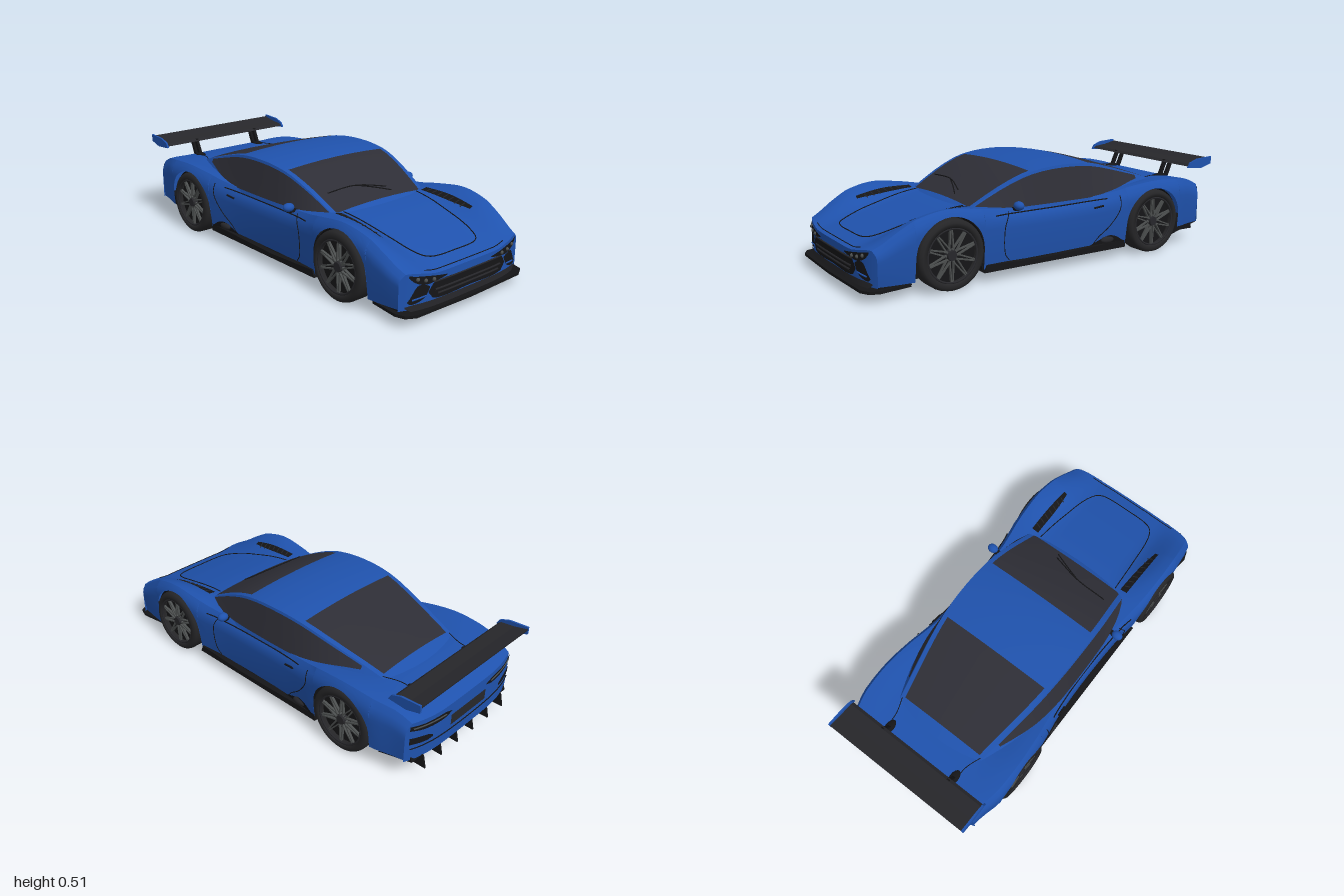
import * as THREE from 'three';
import { toCreasedNormals } from 'three/addons/utils/BufferGeometryUtils.js';

const mat = (name, color, side = THREE.DoubleSide) => Object.assign(new THREE.MeshStandardMaterial({ color, side }), { name });
const blue = mat('blue paint', 0x1f52ad);
const glass = mat('dark glass', 0x2e2e36);
const black = mat('black trim', 0x151517);
const carbon = mat('carbon grey', 0x27272b);
const rubber = mat('tyre rubber', 0x252527);
const metal = mat('rim grey', 0x4b4e4e);

const clamp = (v) => Math.min(1, Math.max(0, v));
const smooth = (a, b, v) => { const t = clamp((v - a) / (b - a)); return t * t * (3 - 2 * t); };

// Smooth curve through [position, value] pairs listed from front to rear
function curve(p) {
  const slope = (i) => {
    const a = p[Math.max(0, i - 1)], b = p[Math.min(p.length - 1, i + 1)];
    return (b[1] - a[1]) / (b[0] - a[0]);
  };
  return (z) => {
    let i = 0;
    while (i < p.length - 2 && z < p[i + 1][0]) i++;
    const [z0, v0] = p[i], [z1, v1] = p[i + 1], h = z1 - z0, t = clamp((z - z0) / h), u = 1 - t;
    return v0 * (1 + 2 * t) * u * u + slope(i) * h * t * u * u + v1 * t * t * (3 - 2 * t) - slope(i + 1) * h * t * t * u;
  };
}

// Body shape rules: half width, fender crest and centre line height along z
const WZ = 0.587, WY = 0.163, ARCH = 0.172, END = 0.972;
const halfWidth = curve([[0.98, 0.39], [0.9, 0.403], [0.75, 0.417], [0.6, 0.424], [0.42, 0.416], [0.28, 0.398], [0, 0.39], [-0.25, 0.4], [-0.42, 0.423], [-0.6, 0.437], [-0.78, 0.43], [-0.9, 0.405], [-0.98, 0.392]]);
const crest = curve([[0.98, 0.222], [0.93, 0.245], [0.84, 0.295], [0.73, 0.342], [0.6, 0.366], [0.46, 0.352], [0.3, 0.328], [0, 0.318], [-0.3, 0.33], [-0.45, 0.356], [-0.6, 0.371], [-0.75, 0.364], [-0.88, 0.347], [-0.98, 0.308]]);
const spine = curve([[0.98, 0.198], [0.88, 0.228], [0.7, 0.278], [0.42, 0.33], [0.2, 0.315], [-0.3, 0.315], [-0.5, 0.33], [-0.67, 0.35], [-0.78, 0.348], [-0.9, 0.333], [-0.98, 0.3]]);

// Points on the body: the ends bow backwards towards the corners
const place = (x, y, z) => new THREE.Vector3(x, y, z - Math.sign(z) * 0.05 * clamp((Math.abs(z) - 0.75) / 0.225) * (x / 0.4) ** 4);
const topY = (x, z) => spine(z) + (crest(z) - spine(z)) * smooth(0.5, 1, Math.abs(x) / (halfWidth(z) - 0.03));
function sideX(y, z) {
  const s = clamp((y - 0.06) / (crest(z) - 0.06));
  return halfWidth(z) - 0.02 * (1 - s) ** 2 - 0.03 * clamp((s - 0.75) / 0.25) ** 2;
}
const onTop = (z, x) => place(x, topY(x, z) + 0.004, z);
const onSide = (s) => (z, y) => place(s * (sideX(y, z) + 0.004), y, z);
const onFront = (x, y) => place(x, y, END + 0.005);
const onRear = (x, y) => place(x, y, -END - 0.005);

// Skin across sections; pick(i, j) chooses the material slot of each quad
function loft(sections, crease, slots = 1, pick = () => 0) {
  const n = sections[0].length, lists = Array.from({ length: slots }, () => []);
  for (let i = 0; i < sections.length - 1; i++) for (let j = 0; j < n - 1; j++) {
    const a = i * n + j, c = a + n;
    lists[pick(i, j)].push(a, c, a + 1, c, c + 1, a + 1);
  }
  const g = new THREE.BufferGeometry().setFromPoints(sections.flat());
  g.setIndex(lists.flat());
  let start = 0;
  lists.forEach((l, k) => { g.addGroup(start, l.length, k); start += l.length; });
  return toCreasedNormals(g, crease);
}

// Thin sheet laid on a surface; rows are [u, low, high]
function panel(rows, surface) {
  const lo = curve(rows.map((r) => [-r[0], r[1]])), hi = curve(rows.map((r) => [-r[0], r[2]]));
  const a = rows[0][0], b = rows[rows.length - 1][0], sections = [];
  for (let i = 0; i <= 20; i++) {
    const u = a + (b - a) * i / 20;
    sections.push([0, 1, 2, 3, 4].map((k) => surface(u, lo(-u) + (hi(-u) - lo(-u)) * k / 4)));
  }
  return loft(sections, 0.6);
}

// Thin seam line drawn over a surface
function seam(points, surface, r = 0.0025) {
  const flat = new THREE.CatmullRomCurve3(points.map(([u, v]) => new THREE.Vector3(u, v, 0)), false, 'centripetal').getPoints(36);
  return new THREE.TubeGeometry(new THREE.CatmullRomCurve3(flat.map((p) => surface(p.x, p.y))), 60, r, 5);
}

// Side outline of [z, y] points extruded from x0 to x1
const slab = (pts, x0, x1) => new THREE.ExtrudeGeometry(new THREE.Shape(pts.map((p) => new THREE.Vector2(...p))), { depth: x1 - x0, bevelEnabled: false }).rotateY(-Math.PI / 2).translate(x1, 0, 0);
const box = (x0, x1, y0, y1, z0, z1) => new THREE.BoxGeometry(x1 - x0, y1 - y0, z1 - z0).translate((x0 + x1) / 2, (y0 + y1) / 2, (z0 + z1) / 2);

function bodyShell() {
  const zs = [END, 0.955, 0.93, 0.9, 0.86, 0.81, -0.8, -0.84, -0.88, -0.92, -0.95, -END];
  for (let z = -0.36; z < 0.37; z += 0.08) zs.push(z);
  for (const c of [WZ, -WZ]) {
    zs.push(c + ARCH + 0.0015, c - ARCH - 0.0015);
    for (let k = 0; k <= 18; k++) zs.push(c + ARCH * Math.cos(k * Math.PI / 18));
  }
  zs.sort((a, b) => b - a);
  const sections = zs.map((z) => {
    const d = Math.abs(Math.abs(z) - WZ), low = z < -0.7 ? 0.11 : 0.065;
    const y0 = d <= ARCH + 1e-6 ? WY + Math.sqrt(Math.max(0, ARCH * ARCH - d * d)) : low;
    const half = [];
    for (let k = 0; k <= 9; k++) { const y = y0 + (crest(z) - y0) * k / 9; half.push(place(sideX(y, z), y, z)); }
    for (let k = 1; k <= 12; k++) { const x = (halfWidth(z) - 0.03) * (1 - k / 12); half.push(place(x, topY(x, z), z)); }
    return half.concat(half.slice(0, -1).reverse().map((p) => new THREE.Vector3(-p.x, p.y, p.z)));
  });
  const drop = (s, y) => s.map((p) => new THREE.Vector3(p.x, y, p.z));
  return loft([drop(sections[0], 0.065), ...sections, drop(sections[sections.length - 1], 0.11)], 0.6);
}

const roofY = curve([[0.45, 0.325], [0.42, 0.345], [0.25, 0.437], [0.11, 0.488], [-0.07, 0.506], [-0.25, 0.493], [-0.45, 0.441], [-0.67, 0.373], [-0.76, 0.34]]);
const roofX = curve([[0.45, 0.295], [0.42, 0.297], [0.11, 0.327], [-0.25, 0.32], [-0.67, 0.255], [-0.76, 0.24]]);
const cabinX = curve([[0.45, 0.31], [0.4, 0.335], [0.25, 0.365], [0.05, 0.376], [-0.3, 0.374], [-0.5, 0.35], [-0.67, 0.3], [-0.76, 0.26]]);

// Cabin with side windows, windscreen and rear screen as strips of one skin
function cabin() {
  const zs = [0.45, 0.42, 0.4, 0.34, 0.28, 0.22, 0.16, 0.11, 0.05, -0.01, -0.07, -0.13, -0.19, -0.25, -0.31, -0.38, -0.45, -0.52, -0.58, -0.63, -0.67, -0.72, -0.76];
  const sections = zs.map((z) => {
    const edge = new THREE.Vector3(roofX(z), roofY(z) - 0.014, z), base = new THREE.Vector3(cabinX(z), 0.3, z);
    const winTop = edge.clone().lerp(base, 0.07);
    const sill = Math.min(winTop.y, 0.322 + 0.045 * smooth(-0.22, -0.6, z) * 1);
    const winLow = edge.clone().lerp(base, clamp((edge.y - sill) / (edge.y - base.y)));
    const half = [base, winLow, winTop, edge];
    for (const f of [1, 0.66, 0.33, 0]) { const x = (edge.x - 0.024) * f; half.push(new THREE.Vector3(x, roofY(z) - 0.014 * (x / edge.x) ** 2, z)); }
    return half.concat(half.slice(0, -1).reverse().map((p) => new THREE.Vector3(-p.x, p.y, p.z)));
  });
  return loft(sections, 0.5, 2, (i, j) => {
    const k = Math.min(j, 13 - j), z = (zs[i] + zs[i + 1]) / 2;
    if (k === 1) return z < 0.4 && z > -0.58 ? 1 : 0;
    return k >= 4 && ((z < 0.42 && z > 0.11) || (z < -0.25 && z > -0.67)) ? 1 : 0;
  });
}

function wheel(add) {
  const g = new THREE.Group();
  const profile = [[0.123, -0.056], [0.147, -0.057], [0.159, -0.048], [WY, -0.034], [WY, 0.034], [0.159, 0.048], [0.147, 0.057], [0.127, 0.056], [0.123, 0.03]];
  add('tyre', new THREE.LatheGeometry(profile.map((p) => new THREE.Vector2(...p)), 48), rubber, g);
  add('wheelBarrel', new THREE.CylinderGeometry(0.124, 0.124, 0.08, 40).translate(0, -0.015, 0), black, g);
  add('rimRing', new THREE.TorusGeometry(0.122, 0.005, 8, 48).rotateX(Math.PI / 2).translate(0, 0.05, 0), carbon, g);
  add('hub', new THREE.CylinderGeometry(0.022, 0.03, 0.03, 20).translate(0, 0.035, 0), carbon, g);
  for (let i = 0; i < 10; i++) for (const s of [-1, 1])
    add('spoke', new THREE.BoxGeometry(0.1, 0.012, 0.006).rotateY(s * 0.07).translate(0.073, 0.037, s * 0.007).rotateY(i * Math.PI / 5), metal, g);
  return g;
}

export function createModel() {
  const model = new THREE.Group();
  model.name = 'sportsCar';
  const add = (name, geometry, material, parent = model) => {
    const m = new THREE.Mesh(geometry, material);
    m.name = name;
    parent.add(m);
    return m;
  };
  add('body', bodyShell(), blue);
  add('cabin', cabin(), [blue, glass]);

  // Underbody and diffuser
  add('floor', box(-0.31, 0.31, 0.05, 0.21, -0.78, 0.78), black);
  add('middleFloor', box(-0.375, 0.375, 0.05, 0.075, -0.412, 0.412), black);
  add('frontFloor', box(-0.375, 0.375, 0.05, 0.07, 0.765, 0.92), black);
  add('diffuser', slab([[-0.765, 0.05], [-0.765, 0.12], [-0.94, 0.125], [-0.95, 0.1]], -0.36, 0.36), black);
  for (const x of [-0.3, -0.18, -0.06, 0.06, 0.18, 0.3])
    add('diffuserFin', slab([[-0.76, 0.05], [-0.98, 0.05], [-0.965, 0.115], [-0.9, 0.11]], x - 0.004, x + 0.004), black);

  // Nose: splitter, grille and lower lip
  const plan = [[-0.38, 0.77], [-0.4, 0.92], [-0.385, 0.965], [-0.34, 0.99], [0, 1], [0.34, 0.99], [0.385, 0.965], [0.4, 0.92], [0.38, 0.77]];
  add('splitter', new THREE.ExtrudeGeometry(new THREE.Shape(plan.map((p) => new THREE.Vector2(...p))), { depth: 0.013, bevelEnabled: false }).rotateX(Math.PI / 2).translate(0, 0.057, 0), black);
  add('lowerLip', panel([[-0.365, 0.075, 0.082], [-0.34, 0.052, 0.086], [0.34, 0.052, 0.086], [0.365, 0.075, 0.082]], onFront), carbon);
  add('grille', panel([[-0.252, 0.125, 0.13], [-0.22, 0.092, 0.166], [0, 0.092, 0.166], [0.22, 0.092, 0.166], [0.252, 0.125, 0.13]], onFront), black);
  for (const [y, w] of [[0.11, 0.2], [0.13, 0.215]]) add('grilleBar', seam([[-w, y], [w, y]], onFront, 0.005), carbon);
  add('grilleFrame', seam([[-0.22, 0.166], [0, 0.166], [0.22, 0.166]], onFront, 0.004), carbon);

  // Hood outline, wipers and screen base
  const hood = [[0.43, -0.24], [0.6, -0.226], [0.82, -0.195], [0.875, -0.16], [0.89, 0], [0.875, 0.16], [0.82, 0.195], [0.6, 0.226], [0.43, 0.24]];
  add('hoodSeam', seam(hood, onTop), black);
  add('noseSeam', seam([[0.955, -0.26], [0.955, 0], [0.955, 0.26]], onTop, 0.002), black);
  const onScreen = (x, z) => new THREE.Vector3(x, roofY(z) - 0.014 * (x / 0.3) ** 2 + 0.005, z);
  add('wiper', seam([[-0.24, 0.32], [-0.07, 0.325], [0.09, 0.37]], onScreen, 0.003), black);
  add('wiper', seam([[-0.07, 0.325], [0.02, 0.36], [0.1, 0.395]], onScreen, 0.003), black);

  // Tail panel
  add('tailPanel', panel([[-0.13, 0.19, 0.245], [0.13, 0.19, 0.245]], onRear), carbon);
  add('tailSeam', seam([[-0.37, 0.175], [0, 0.165], [0.37, 0.175]], onRear), black);

  // Wing
  add('wing', slab([[-0.845, 0.418], [-0.86, 0.43], [-0.93, 0.437], [-1, 0.452], [-0.998, 0.443], [-0.92, 0.422]], -0.398, 0.398), carbon);

  for (const s of [-1, 1]) {
    const rows = (list, on, flip = s) => panel(list.map(([u, a, b]) => [u * flip, a, b]).sort((p, q) => p[0] - q[0]), on);
    const side = onSide(s);
    add('headlight', rows([[0.145, 0.179, 0.183], [0.2, 0.17, 0.191], [0.27, 0.165, 0.203], [0.325, 0.185, 0.212], [0.35, 0.21, 0.219]], onFront), black);
    for (const [x, y] of [[0.225, 0.18], [0.27, 0.184], [0.31, 0.196]])
      add('headlightLens', new THREE.SphereGeometry(0.009, 14, 10).translate(...onFront(s * x, y).toArray()), metal);
    add('cornerIntake', rows([[0.245, 0.148, 0.152], [0.268, 0.112, 0.163], [0.31, 0.092, 0.165], [0.345, 0.09, 0.115], [0.355, 0.1, 0.103]], onFront), black);
    add('intakeBlade', seam([[s * 0.265, 0.115], [s * 0.335, 0.107]], onFront, 0.004), blue);
    add('tailLight', rows([[0.13, 0.268, 0.272], [0.18, 0.255, 0.285], [0.3, 0.26, 0.29], [0.375, 0.275, 0.298]], onRear), black);
    add('tailLightStrip', seam([[s * 0.17, 0.27], [s * 0.36, 0.283]], onRear, 0.004), metal);
    add('rearVent', rows([[0.25, 0.195, 0.205], [0.28, 0.19, 0.22], [0.375, 0.2, 0.235]], onRear), black);

    // Hood vent with slats
    add('hoodVent', panel([[0.44, s * 0.265, s * 0.303], [0.6, s * 0.272, s * 0.306], [0.73, s * 0.288, s * 0.306]], onTop), black);
    for (let z = 0.47; z < 0.7; z += 0.035) add('ventSlat', seam([[z, s * 0.274], [z + 0.008, s * 0.3]], onTop, 0.003), carbon);
    add('deckSeam', seam([[-0.66, s * 0.25], [-0.76, s * 0.215], [-0.86, s * 0.215]], onTop, 0.002), black);

    // Door lines, handle, side intake and skirt
    add('doorSeam', seam([[0.27, 0.315], [0.3, 0.25], [0.295, 0.12], [0.27, 0.085]], side, 0.002), black);
    add('doorSeam', seam([[-0.37, 0.32], [-0.365, 0.25], [-0.31, 0.17], [-0.25, 0.12], [-0.22, 0.085]], side, 0.002), black);
    add('beltSeam', seam([[0.35, 0.306], [0, 0.303], [-0.3, 0.31]], side, 0.003), black);
    add('doorHandle', seam([[-0.215, 0.273], [-0.27, 0.279]], side, 0.005), black);
    add('sideIntake', panel([[-0.4, 0.08, 0.085], [-0.35, 0.078, 0.115], [-0.31, 0.078, 0.122], [-0.26, 0.078, 0.105], [-0.2, 0.075, 0.08]], side), black);
    add('intakePod', new THREE.SphereGeometry(0.02, 16, 10).scale(0.8, 0.9, 2).translate(s * 0.395, 0.1, -0.305), carbon);
    const skirt = [[0.415, 0.05], [0.4, 0.085], [0.1, 0.072], [-0.2, 0.08], [-0.41, 0.085], [-0.415, 0.05]];
    add('sideSkirt', slab(skirt, s > 0 ? 0.36 : -0.405, s > 0 ? 0.405 : -0.36), black);

    // Mirror
    add('mirror', new THREE.SphereGeometry(0.026, 20, 14).scale(1.1, 0.8, 0.9).translate(s * 0.397, 0.338, 0.225), blue);
    add('mirrorStalk', box(s * 0.375 - 0.02, s * 0.375 + 0.02, 0.314, 0.326, 0.215, 0.24), black);

    // Wing struts and end plates
    const end = [[-0.835, 0.412], [-0.85, 0.438], [-0.9, 0.455], [-1, 0.461], [-1, 0.424], [-0.93, 0.405]];
    add('wingEndPlate', slab(end, s * 0.4 - 0.005, s * 0.4 + 0.005), blue);
    const strut = (z) => slab([[z, 0.33], [z - 0.045, 0.43], [z - 0.065, 0.43], [z - 0.022, 0.33]], s * 0.2 - 0.008, s * 0.2 + 0.008);
    add('wingStrut', strut(-0.81), black);
    add('wingStrut', strut(-0.855), black);
    add('strutFoot', new THREE.SphereGeometry(0.025, 16, 8).scale(0.9, 0.4, 1.7).translate(s * 0.2, 0.346, -0.825), black);

    // Wheels with arch liners
    for (const z of [WZ, -WZ]) {
      const w = wheel(add);
      w.name = z > 0 ? 'frontWheel' : 'rearWheel';
      w.position.set(s * 0.372, WY, z);
      w.rotation.z = -s * Math.PI / 2;
      model.add(w);
      const liner = new THREE.CylinderGeometry(ARCH, ARCH, 0.09, 28, 1, true, 0, Math.PI).rotateZ(Math.PI / 2);
      add('archLiner', liner.translate(s * 0.357, WY, z), black);
      add('archWall', new THREE.CircleGeometry(ARCH, 28, 0, Math.PI).rotateY(Math.PI / 2).translate(s * 0.312, WY, z), black);
    }
  }
  return model;
}
